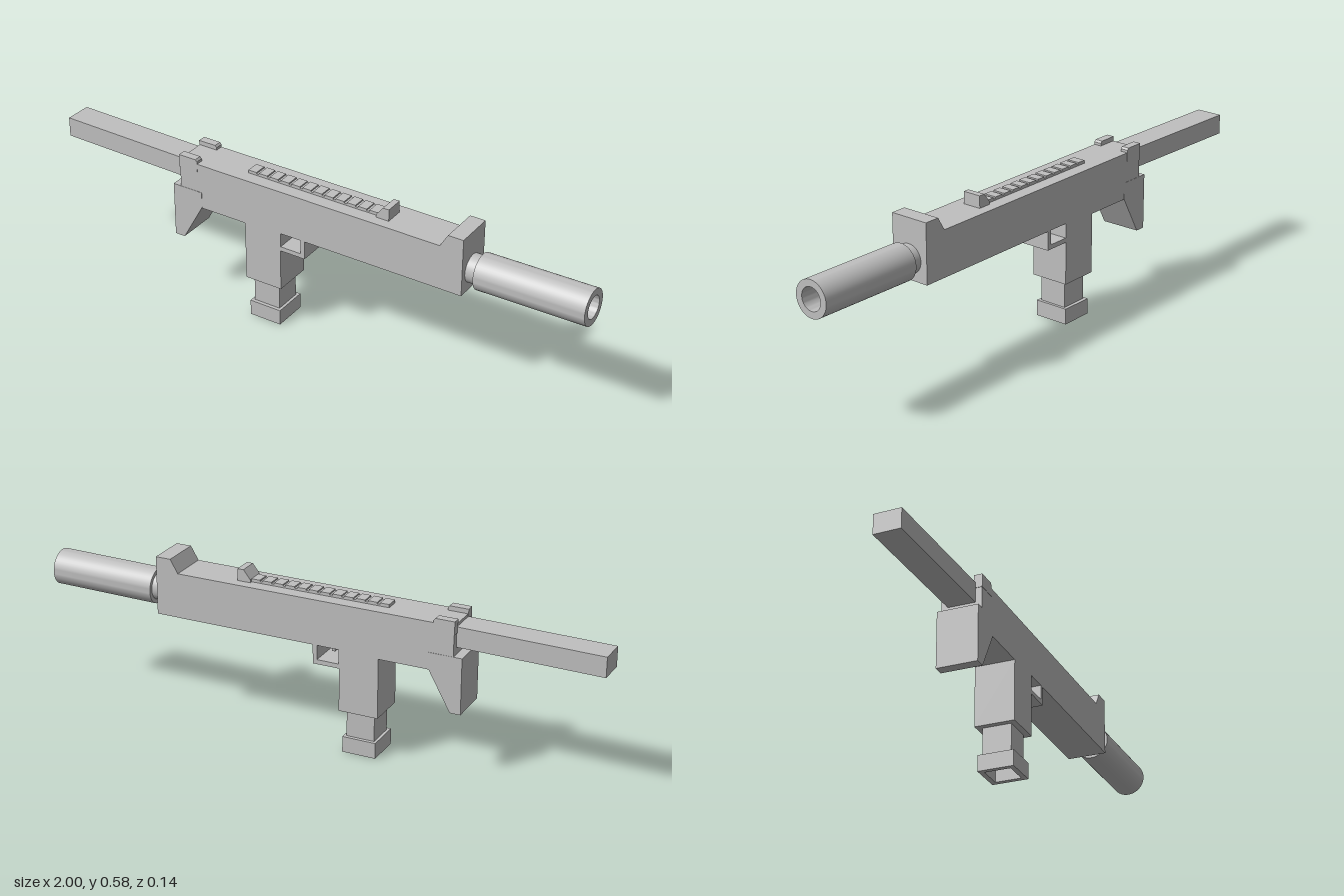
import * as THREE from 'three';
import { toCreasedNormals } from 'three/addons/utils/BufferGeometryUtils.js';

const grey = new THREE.MeshStandardMaterial({ color: 0xc0c0c0 });
grey.name = 'grey';

const vectors = (points) => points.map(([x, y]) => new THREE.Vector2(x, y));

export function createModel() {
  const model = new THREE.Group();
  model.name = 'blaster';

  const add = (name, geometry) => {
    const mesh = new THREE.Mesh(geometry, grey);
    mesh.name = name;
    model.add(mesh);
    return mesh;
  };

  // Box given by its limits
  const box = (name, [x0, x1], [y0, y1], [z0, z1]) => {
    const mesh = add(name, new THREE.BoxGeometry(x1 - x0, y1 - y0, z1 - z0));
    mesh.position.set((x0 + x1) / 2, (y0 + y1) / 2, (z0 + z1) / 2);
    return mesh;
  };

  // Side profile extruded evenly about z = 0
  const slab = (name, points, width, hole) => {
    const shape = new THREE.Shape(vectors(points));
    if (hole) shape.holes.push(new THREE.Path(vectors(hole)));
    const geometry = new THREE.ExtrudeGeometry(shape, { depth: width, bevelEnabled: false });
    return add(name, geometry.translate(0, 0, -width / 2));
  };

  // Body with front sight block, grip and trigger guard
  slab('body', [
    [-0.5, 0.365], [-0.24, 0.365], [-0.24, 0.152], [-0.1, 0.152], [-0.1, 0.304],
    [-0.005, 0.304], [-0.005, 0.371], [0.58, 0.371], [0.58, 0.577], [0.525, 0.577],
    [0.497, 0.53], [-0.5, 0.53],
  ], 0.14, [[-0.1 + 0.001, 0.32], [-0.02, 0.32], [-0.02, 0.371], [-0.1 + 0.001, 0.371]]);
  box('trigger', [-0.06, -0.048], [0.335, 0.373], [-0.015, 0.015]);

  // Sloping rear spur
  slab('rearSpur', [
    [-0.53, 0.228], [-0.493, 0.228], [-0.415, 0.368], [-0.415, 0.425], [-0.53, 0.425],
  ], 0.142);

  // Rear sight ears
  for (const side of [-1, 1]) {
    const ear = slab(side > 0 ? 'leftEar' : 'rightEar', [
      [-0.502, 0.5], [-0.43, 0.5], [-0.43, 0.539], [-0.436, 0.546], [-0.502, 0.546],
    ], 0.028);
    ear.position.z = side * 0.057;
  }

  // Top rail with ribs, ending in a small sight
  box('rail', [-0.255, 0.25], [0.525, 0.536], [-0.023, 0.023]);
  const ribs = 12;
  for (let i = 0; i < ribs; i++) {
    const x = -0.255 + i * 0.0425;
    box('railRib', [x, x + 0.032], [0.53, 0.541], [-0.023, 0.023]);
  }
  slab('railSight', [
    [0.243, 0.528], [0.29, 0.528], [0.29, 0.572], [0.268, 0.572], [0.243, 0.541],
  ], 0.066);

  // Stock bar, turned slightly sideways
  const stock = box('stock', [-1, -0.45], [0.45, 0.52], [-0.053, 0.042]);
  stock.rotation.y = -0.024;

  // Magazine and its open base
  box('magazine', [-0.22, -0.12], [0.045, 0.16], [-0.05, 0.05]);
  const base = new THREE.Shape(vectors([[-0.06, -0.0625], [0.06, -0.0625], [0.06, 0.0625], [-0.06, 0.0625]]));
  base.holes.push(new THREE.Path(vectors([[-0.043, -0.045], [0.043, -0.045], [0.043, 0.045], [-0.043, 0.045]])));
  const baseGeometry = new THREE.ExtrudeGeometry(base, { depth: 0.056, bevelEnabled: false });
  add('magazineBase', baseGeometry.rotateX(-Math.PI / 2)).position.x = -0.17;

  // Neck and hollow barrel, tilted slightly upwards
  const neck = add('barrelNeck', new THREE.CylinderGeometry(0.049, 0.049, 0.07, 48).rotateZ(-Math.PI / 2));
  neck.position.set(0.59, 0.442, 0.003);
  const barrelGeometry = new THREE.LatheGeometry(vectors([
    [0, 0], [0.0625, 0], [0.0625, 0.385], [0.039, 0.385], [0.039, 0.03], [0, 0.03],
  ]), 48).rotateZ(-Math.PI / 2);
  const barrel = add('barrel', toCreasedNormals(barrelGeometry, 0.6));
  barrel.position.set(0.615, 0.441, 0.003);
  barrel.rotation.z = 0.012;

  return model;
}
